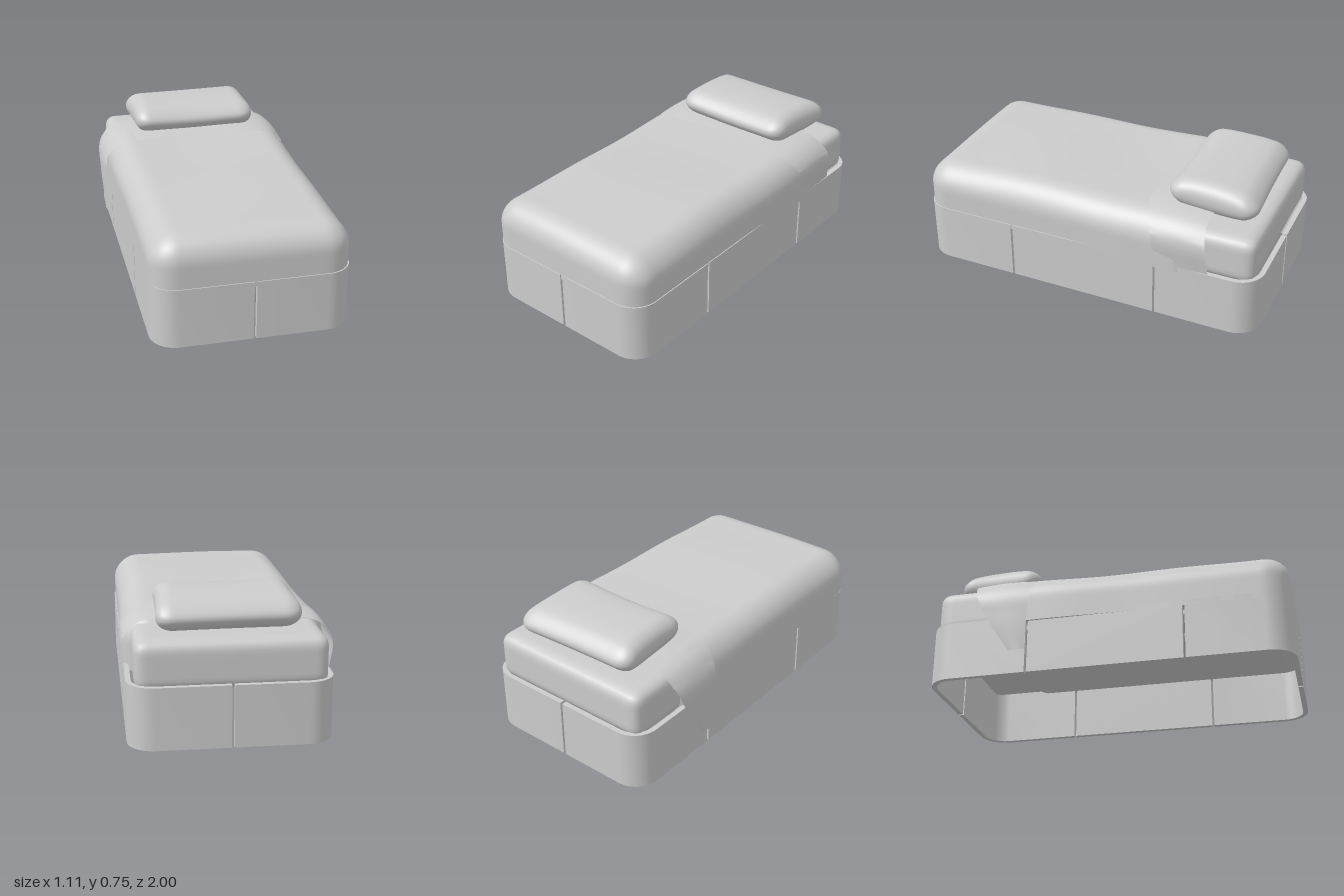
import * as THREE from 'three';
import { mergeVertices, toCreasedNormals } from 'three/addons/utils/BufferGeometryUtils.js';

const CX = 0.0125; // frame centre in x
const H = 0.33; // frame height

// Cushion-like box: rounded by radius r, then reshaped by an optional rule
function softBox(w, h, d, r, seg, warp) {
  let g = new THREE.BoxGeometry(w, h, d, ...seg);
  g.deleteAttribute('normal');
  g.deleteAttribute('uv');
  g = mergeVertices(g);
  const pos = g.attributes.position;
  const p = new THREE.Vector3();
  const half = new THREE.Vector3(w / 2 - r, h / 2 - r, d / 2 - r);
  const min = half.clone().negate();
  for (let i = 0; i < pos.count; i++) {
    p.fromBufferAttribute(pos, i);
    const core = p.clone().clamp(min, half);
    const out = p.clone().sub(core);
    if (out.lengthSq() > 0) p.copy(core).addScaledVector(out.normalize(), r);
    if (warp) warp(p);
    pos.setXYZ(i, p.x, p.y, p.z);
  }
  g.computeVertexNormals();
  return g;
}

// Upright panel from a floor-plan shape (x, z)
function panel(shape) {
  const g = new THREE.ExtrudeGeometry(shape, { depth: H, bevelEnabled: false, curveSegments: 10 });
  g.rotateX(Math.PI / 2);
  g.translate(CX, H, 0);
  return toCreasedNormals(g, 0.6);
}

// L-shaped plan of one rounded frame corner
function cornerPlan(sx, sz) {
  const W = 0.5275, D = 1, r = 0.14, t = 0.028, gx = 0.007, gz = 0.436;
  const s = new THREE.Shape();
  s.moveTo(sx * gx, sz * D);
  s.lineTo(sx * (W - r), sz * D);
  s.bezierCurveTo(sx * (W - r * 0.45), sz * D, sx * W, sz * (D - r * 0.45), sx * W, sz * (D - r));
  s.lineTo(sx * W, sz * gz);
  s.lineTo(sx * (W - t), sz * gz);
  s.lineTo(sx * (W - t), sz * (D - r));
  s.bezierCurveTo(sx * (W - t), sz * (D - r * 0.55), sx * (W - r * 0.55), sz * (D - t), sx * (W - r), sz * (D - t));
  s.lineTo(sx * gx, sz * (D - t));
  s.closePath();
  return s;
}

// Sheet spanned between two edge curves, puffed a little in the middle
function foldGeometry() {
  // x, y, z of front edge, z of back edge
  const rows = [
    [-0.55, 0.12, -0.43, -0.52], [-0.557, 0.33, -0.42, -0.65], [-0.55, 0.46, -0.41, -0.71],
    [-0.485, 0.56, -0.385, -0.735], [-0.38, 0.597, -0.355, -0.72], [0, 0.612, -0.37, -0.7],
    [0.35, 0.61, -0.33, -0.69], [0.48, 0.58, -0.365, -0.69], [0.55, 0.5, -0.405, -0.71],
    [0.538, 0.32, -0.43, -0.73],
  ];
  const front = new THREE.CatmullRomCurve3(rows.map(([x, y, z]) => new THREE.Vector3(x, y, z)));
  const back = new THREE.CatmullRomCurve3(rows.map(([x, y, , z]) => new THREE.Vector3(x, y, z)));
  const nu = 54, nv = 8;
  const g = new THREE.PlaneGeometry(1, 1, nu, nv);
  const pos = g.attributes.position;
  const p = new THREE.Vector3();
  for (let j = 0; j <= nv; j++) {
    const v = j / nv; // 0 is the back edge
    for (let i = 0; i <= nu; i++) {
      p.copy(back.getPoint(i / nu)).lerp(front.getPoint(i / nu), v);
      const puff = 0.008 * Math.sin(Math.PI * v) - 0.008;
      p.x *= 1 + puff;
      p.y += p.y > 0.5 ? puff : 0;
      pos.setXYZ(j * (nu + 1) + i, p.x, p.y, p.z);
    }
  }
  // The plane's rows run back to front, so its faces already look outward
  g.computeVertexNormals();
  return g;
}

export function createModel() {
  const model = new THREE.Group();
  const grey = new THREE.MeshStandardMaterial({ color: 0xcccccc, side: THREE.DoubleSide });
  grey.name = 'plainGrey';
  const add = (name, geometry, x = 0, y = 0, z = 0) => {
    const m = new THREE.Mesh(geometry, grey);
    m.name = name;
    m.position.set(x, y, z);
    model.add(m);
    return m;
  };

  // Frame: four corner panels and two straight side panels
  for (const sx of [-1, 1]) {
    for (const sz of [-1, 1]) add('frameCorner', panel(cornerPlan(sx, sz)));
    add('frameSide', new THREE.BoxGeometry(0.028, H, 0.848), CX + sx * 0.5135, H / 2, 0);
  }

  // Connectors inside the right-hand joints
  for (const z of [-0.43, 0.43]) {
    const arm = add('connectorArm', new THREE.CylinderGeometry(0.014, 0.014, 0.28, 12), -0.355, 0.27, z);
    arm.rotation.z = Math.PI / 2;
    add('connectorKnob', new THREE.SphereGeometry(0.045, 16, 12), -0.22, 0.26, z);
  }

  // Mattress
  add('mattress', softBox(0.98, 0.26, 1.9, 0.06, [40, 14, 60]), 0.01, 0.42, -0.015);

  // Blanket: rounded on top, flat below, with gentle waves
  add('blanket', softBox(1.05, 0.52, 1.66, 0.14, [44, 26, 64], (p) => {
    if (p.y < -0.03) p.y = -0.03;
    const top = THREE.MathUtils.smoothstep(p.y, 0.1, 0.25);
    p.y += top * 0.006 * (Math.sin(p.z * 7) + Math.sin(p.x * 5 + p.z * 3)) * 0.7;
    p.x *= 1 + 0.02 * THREE.MathUtils.smoothstep(-p.z, 0, 0.5) - 0.02 * top;
  }), 0.01, 0.33, 0.165);

  // Turned-down fold, hanging over the right side
  add('blanketFold', foldGeometry());

  // Pillow: thinner toward its long edges, slightly skewed corners
  add('pillow', softBox(0.72, 0.178, 0.48, 0.085, [40, 14, 30], (p) => {
    const u = p.x / 0.36, v = p.z / 0.24;
    p.y *= 1 - 0.45 * Math.abs(v) ** 3;
    p.y += 0.012 * v - 0.008 * Math.cos(u * 2) * Math.max(0, v);
    p.x *= 1 + 0.03 * u * u * v * v - 0.02 * v;
    p.z *= 1 + 0.03 * u * u;
    p.z -= 0.015 * u * Math.max(0, -v);
  }), 0.015, 0.655, -0.665);

  return model;
}
